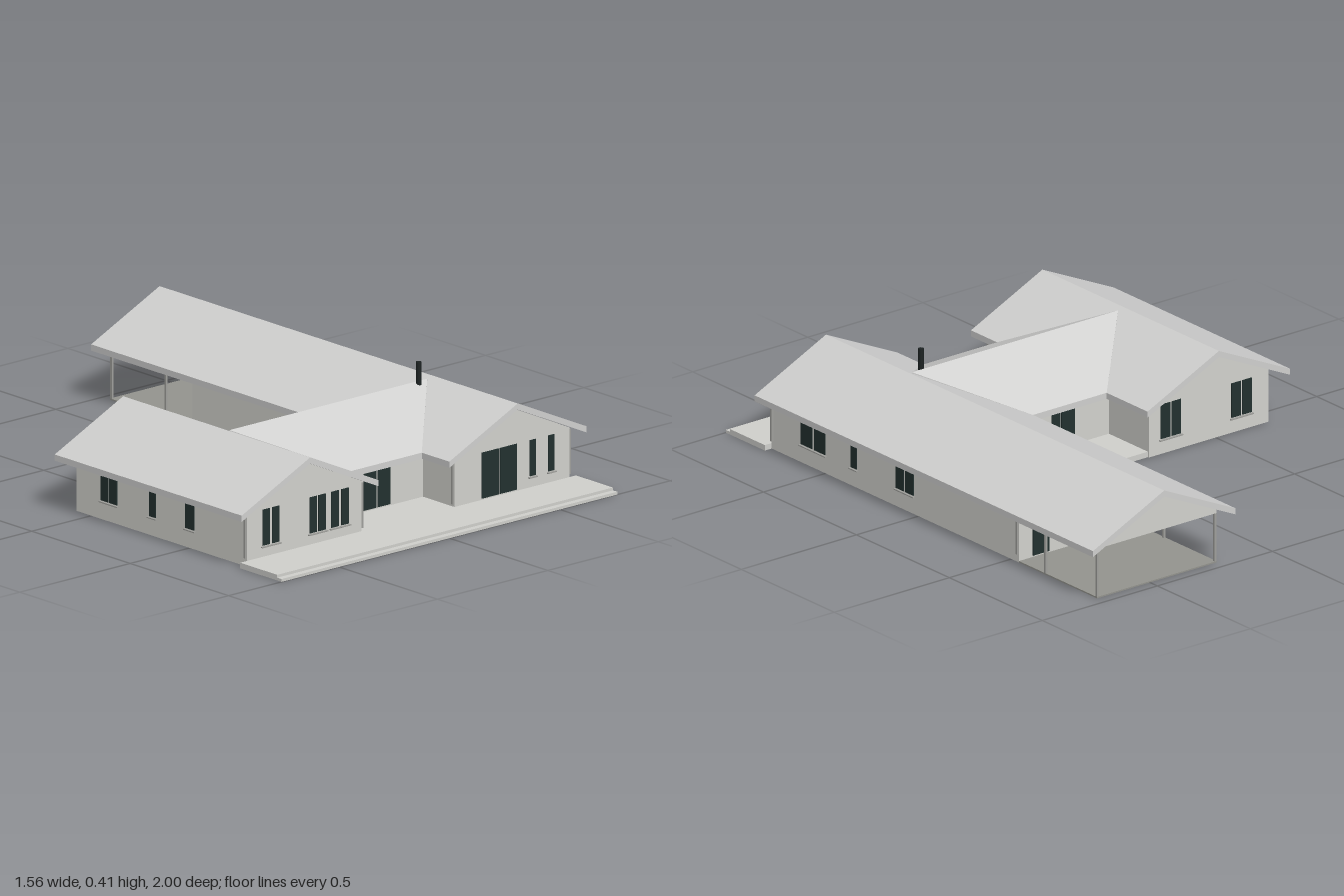
import * as THREE from 'three';

const mat = (name, color) => {
  const m = new THREE.MeshStandardMaterial({ color });
  m.name = name;
  return m;
};

export function createModel() {
  const model = new THREE.Group();
  model.name = 'house';
  const wall = mat('wall grey', 0xd2d2cd);
  const roof = mat('roof grey', 0xd0d0cf);
  const paving = mat('paving grey', 0xd0d0cc);
  const carportFloor = mat('carport floor grey', 0x94948e);
  const trim = mat('trim grey', 0xa0a09c);
  const glass = mat('dark glass', 0x22302f);
  const metal = mat('chimney black', 0x1c2222);

  const add = (name, geometry, material) => {
    const mesh = new THREE.Mesh(geometry, material);
    mesh.name = name;
    model.add(mesh);
    return mesh;
  };
  // Box given by its limits on each axis
  const box = (name, material, x0, x1, y0, y1, z0, z1) => {
    const mesh = add(name, new THREE.BoxGeometry(x1 - x0, y1 - y0, z1 - z0), material);
    mesh.position.set((x0 + x1) / 2, (y0 + y1) / 2, (z0 + z1) / 2);
    return mesh;
  };
  const extrude = (points, depth) => new THREE.ExtrudeGeometry(
    new THREE.Shape(points.map(([x, y]) => new THREE.Vector2(x, y))),
    { depth, bevelEnabled: false });

  // Cross-sections, centred on the ridge
  const chevron = (half, eave, ridge, t) => [
    [-half, eave - t], [0, ridge - t], [half, eave - t],
    [half, eave], [0, ridge], [-half, eave]];
  const gable = (base) => [
    [-0.26, base], [0.26, base], [0.26, 0.196], [0, 0.317], [-0.26, 0.196]];
  const prism = (name, material, points, x, z0, z1) => {
    add(name, extrude(points, z1 - z0), material).position.set(x, 0, z0);
  };

  // Two gabled wings; the one on the left runs back over an open carport
  for (const [side, x, roofBack, wallBack] of [['left', 0.47, -1, -0.54], ['right', -0.47, -0.13, -0.075]]) {
    prism(side + 'WingRoof', roof, chevron(0.31, 0.197, 0.34, 0.022), x, roofBack, 0.82);
    prism(side + 'WingWalls', wall, gable(0), x, wallBack, 0.79);
  }
  prism('carportGable', wall, gable(0.18), 0.47, -0.96, -0.54);
  box('carportFloor', carportFloor, 0.21, 0.73, 0, 0.005, -0.96, -0.54);
  for (const x of [0.214, 0.726])
    for (const z of [-0.955, -0.68])
      box('carportPost', trim, x - 0.004, x + 0.004, 0.005, 0.18, z - 0.004, z + 0.004);

  // Middle block, with a cross roof running into the wing slopes
  box('middleWalls', wall, -0.21, 0.21, 0, 0.196, 0.14, 0.63);
  const cross = extrude(chevron(0.295, 0.197, 0.333, 0.022), 1);
  cross.translate(0, 0, -0.5).rotateY(Math.PI / 2);
  const p = cross.attributes.position;
  for (let i = 0; i < p.count; i++) {
    const reach = 0.16 + 0.288 * (1 - Math.abs(p.getZ(i)) / 0.295);
    p.setX(i, Math.sign(p.getX(i)) * reach);
  }
  cross.computeVertexNormals();
  add('middleRoof', cross, roof).position.z = 0.385;

  // Chimney pipe
  add('chimney', new THREE.CylinderGeometry(0.01, 0.01, 0.1, 12), metal).position.set(0.4, 0.355, 0.395);

  // Terraces
  box('frontTerrace', paving, -0.76, 0.76, 0, 0.02, 0.79, 0.978);
  box('frontStep', paving, -0.76, 0.76, 0, 0.01, 0.978, 1);
  box('courtTerrace', paving, -0.21, 0.21, 0, 0.02, 0.63, 0.79);
  box('backTerrace', paving, -0.21, 0.21, 0, 0.02, -0.07, 0.14);

  // Panes and sills: axis is the wall normal, at its position, dir the outward side
  const plate = (name, material, axis, at, dir, a, b, y0, y1, t) => {
    const n = [at, at + dir * t].sort((u, v) => u - v);
    if (axis === 'z') box(name, material, a, b, y0, y1, n[0], n[1]);
    else box(name, material, n[0], n[1], y0, y1, a, b);
  };
  const openings = (axis, at, dir, y0, y1, spans) => {
    for (const [a, b] of spans) {
      plate('windowPane', glass, axis, at, dir, a, b, y0, y1, 0.003);
      if (y0 > 0.04) plate('windowSill', trim, axis, at, dir, a - 0.006, b + 0.006, y0 - 0.007, y0 - 0.003, 0.008);
    }
  };
  // Front
  openings('z', 0.79, 1, 0.06, 0.187, [[-0.66, -0.628], [-0.616, -0.585],
    [-0.447, -0.414], [-0.407, -0.374], [-0.349, -0.316], [-0.303, -0.27],
    [0.55, 0.576], [0.634, 0.661]]);
  openings('z', 0.79, 1, 0.025, 0.187, [[0.333, 0.409], [0.415, 0.491]]);
  openings('z', 0.63, 1, 0.025, 0.175, [[-0.06, -0.003], [0.003, 0.06]]);
  openings('x', -0.21, 1, 0.06, 0.175, [[0.675, 0.705], [0.712, 0.742]]);
  // Outer sides
  openings('x', 0.73, 1, 0.067, 0.175, [[0.5, 0.56], [0.57, 0.632], [0.33, 0.363], [0.025, 0.068], [0.078, 0.12]]);
  openings('x', -0.73, -1, 0.067, 0.175, [[0.05, 0.088], [0.094, 0.132], [0.295, 0.328], [0.48, 0.525]]);
  // Back
  openings('z', -0.075, -1, 0.055, 0.18, [[-0.655, -0.615], [-0.608, -0.568], [-0.348, -0.308], [-0.301, -0.26]]);
  openings('z', 0.14, -1, 0.06, 0.175, [[0.105, 0.142], [0.148, 0.185]]);
  openings('z', 0.14, -1, 0.025, 0.175, [[-0.06, -0.003], [0.003, 0.04]]);
  openings('x', 0.21, -1, 0.025, 0.175, [[0.02, 0.08]]);
  openings('z', -0.54, -1, 0.01, 0.165, [[0.6, 0.67]]);

  // Downpipes at the wing corners
  for (const [x, z] of [[0.734, 0.785], [-0.734, 0.785], [0.206, 0.785], [-0.206, 0.785], [0.734, -0.535]])
    box('downpipe', trim, x - 0.004, x + 0.004, 0.03, 0.19, z - 0.004, z + 0.004);

  return model;
}
